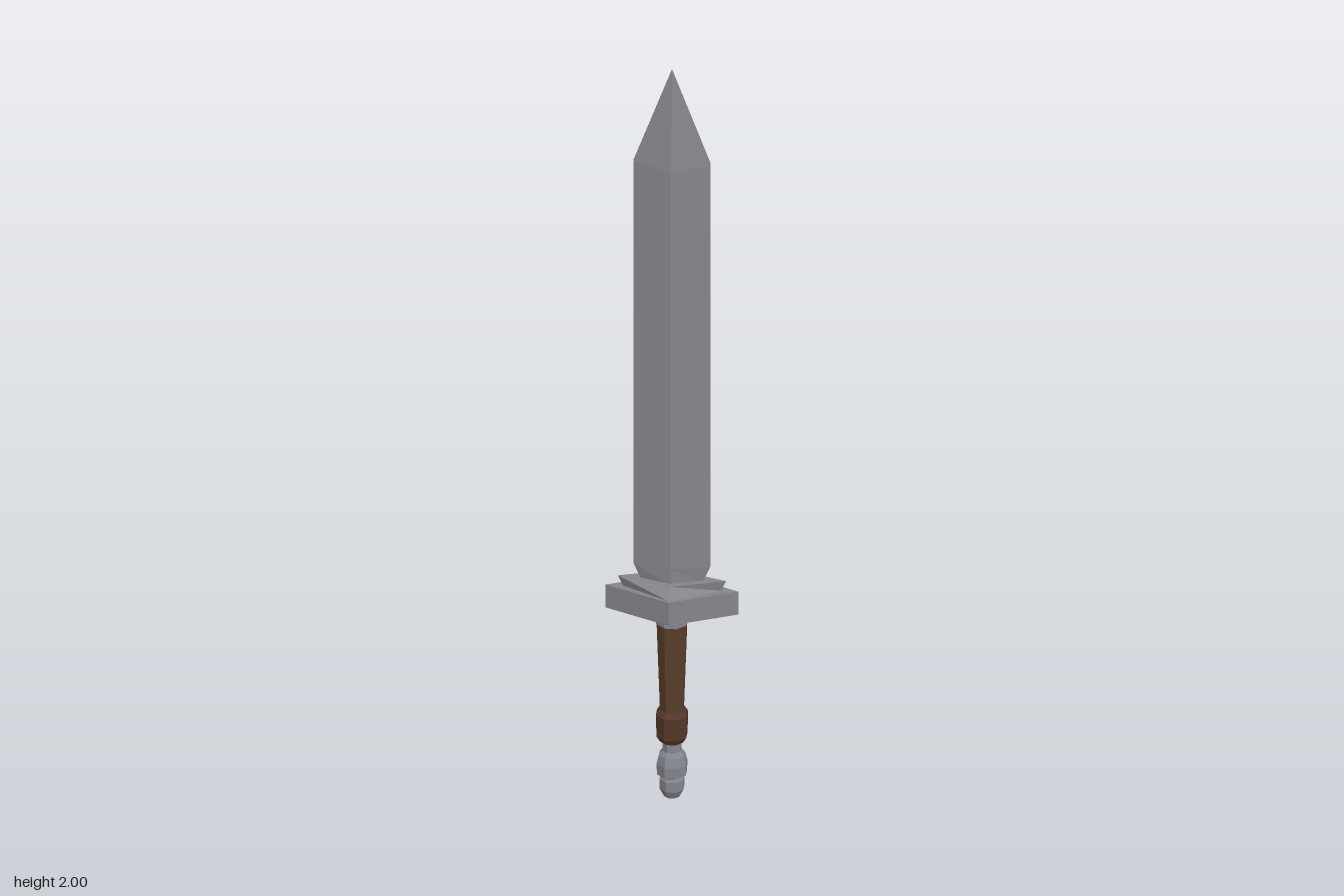
import * as THREE from 'three';

const material = (name, color) => {
  const m = new THREE.MeshStandardMaterial({ color, flatShading: true });
  m.name = name;
  return m;
};

// Solid from stacked rings; each ring is a list of [x, z] running from +x towards +z.
function loft(rings) {
  const pos = [], n = rings[0].points.length;
  const tri = (a, b, c) => pos.push(...a, ...b, ...c);
  const at = (r, i) => [r.points[i % n][0], r.y + (r.points[i % n][2] || 0), r.points[i % n][1]];
  for (let k = 0; k < rings.length - 1; k++) {
    const lo = rings[k], hi = rings[k + 1];
    for (let i = 0; i < n; i++) {
      const a = at(lo, i), b = at(lo, i + 1), c = at(hi, i + 1), d = at(hi, i);
      tri(a, d, c);
      tri(a, c, b);
    }
  }
  const first = rings[0], last = rings[rings.length - 1];
  for (let i = 0; i < n; i++) {
    tri([0, first.y, 0], at(first, i), at(first, i + 1));
    tri([0, last.y, 0], at(last, i + 1), at(last, i));
  }
  const g = new THREE.BufferGeometry();
  g.setAttribute('position', new THREE.Float32BufferAttribute(pos, 3));
  g.computeVertexNormals();
  return g;
}

const diamond = (y, x, z) => ({ y, points: [[x, 0], [0, z], [-x, 0], [0, -z]] });

// Six-sided blade section: blunt narrow edges and a central ridge, which may sit lower.
const section = (y, x, edge, ridge, drop = 0) => ({
  y,
  points: [[x, -edge], [x, edge], [0, ridge, -drop], [-x, edge], [-x, -edge], [0, -ridge, -drop]],
});

// Octagonal turned part from [radius, y] pairs, with flat sides facing front.
function turned(profile) {
  const g = new THREE.LatheGeometry(profile.map(([r, y]) => new THREE.Vector2(r, y)), 8);
  return g.rotateY(Math.PI / 8);
}

export function createModel() {
  const steel = material('steel', 0x86858b);
  const polished = material('pommel steel', 0x85888f);
  const leather = material('brown leather', 0x5a3e2a);
  const band = material('dark band', 0x56382a);

  const model = new THREE.Group();
  model.name = 'sword';
  const add = (name, geometry, mat) => {
    const mesh = new THREE.Mesh(geometry, mat);
    mesh.name = name;
    model.add(mesh);
  };

  // Blade with chamfered base and pointed tip
  add('blade', loft([
    section(0.595, 0.075, 0.004, 0.029),
    section(0.64, 0.094, 0.004, 0.029),
    section(1.745, 0.094, 0.004, 0.029, 0.015),
    section(2.0, 0.0005, 0.0003, 0.0005),
  ]), steel);

  // Diamond crossguard and the collar on top of it
  add('crossguard', loft([diamond(0.51, 0.162, 0.077), diamond(0.573, 0.162, 0.077)]), steel);
  add('guardCollar', loft([diamond(0.573, 0.12, 0.07), diamond(0.6, 0.132, 0.045)]), steel);

  // Handle, from the guard down
  add('gripCollar', turned([[0, 0.48], [0.04, 0.48], [0.04, 0.512], [0, 0.512]]), polished);
  add('grip', turned([[0, 0.23], [0.03, 0.23], [0.039, 0.485], [0, 0.485]]), leather);
  add('gripBand', turned([
    [0, 0.155], [0.03, 0.155], [0.039, 0.17], [0.041, 0.23], [0.033, 0.243], [0, 0.243],
  ]), band);

  // Pommel: neck, bulb and rounded end
  add('pommel', turned([
    [0, 0], [0.02, 0.004], [0.031, 0.025], [0.032, 0.052], [0.028, 0.06],
    [0.038, 0.066], [0.039, 0.095], [0.033, 0.118], [0.024, 0.13], [0.024, 0.158], [0, 0.158],
  ]), polished);

  return model;
}
